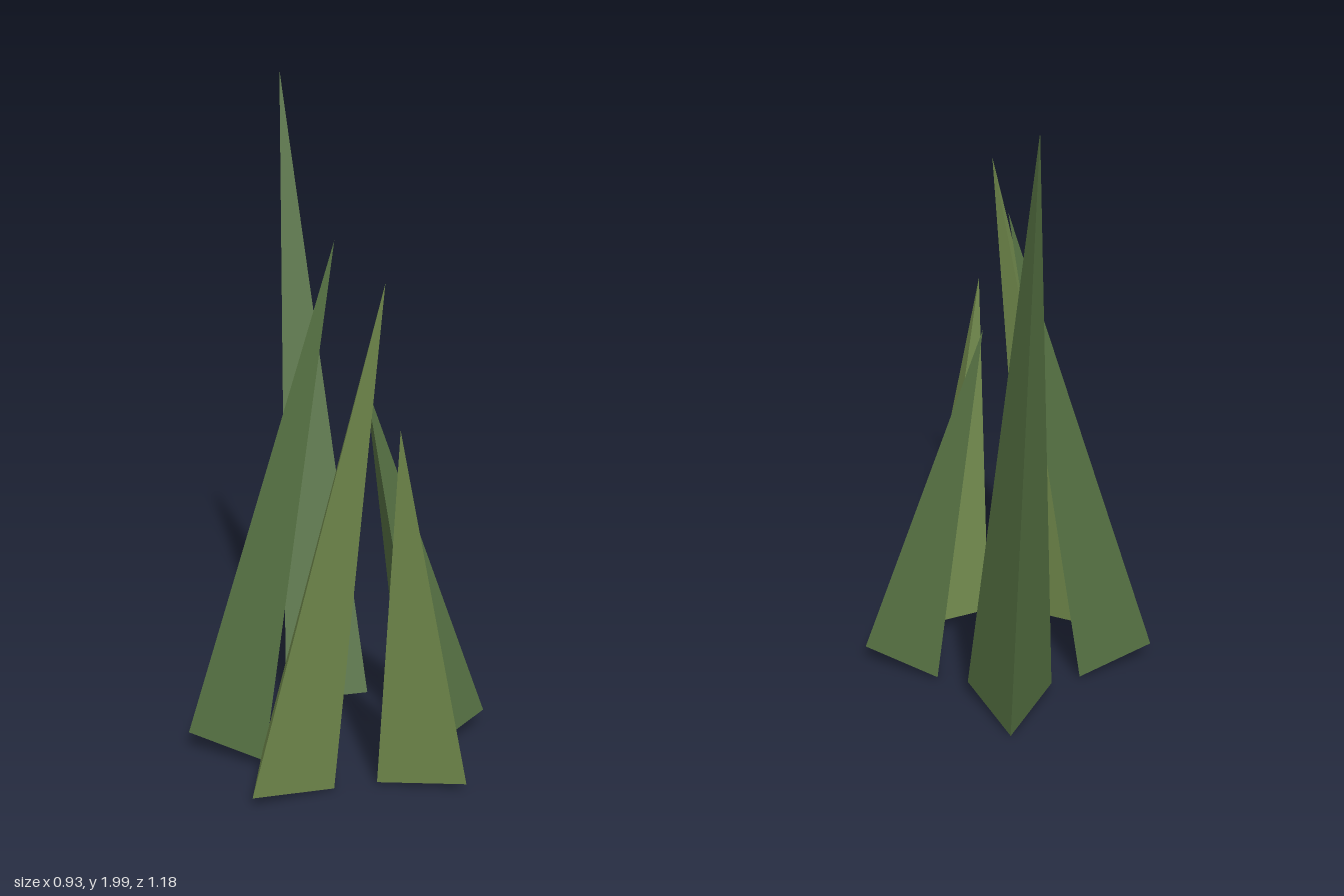
import * as THREE from 'three';

const UP = new THREE.Vector3(0, 1, 0);

// Three-sided spike from the centre of its base to its tip; yaw turns it about its own axis.
function makeSpike(name, material, base, tip, yaw) {
  const foot = new THREE.Vector3(...base);
  const axis = new THREE.Vector3(...tip).sub(foot);
  const height = axis.length();
  const cone = new THREE.ConeGeometry(0.154, height, 3);
  cone.translate(0, height / 2, 0);
  cone.rotateY(yaw);
  // faceted normals
  const geometry = cone.toNonIndexed();
  geometry.computeVertexNormals();
  const mesh = new THREE.Mesh(geometry, material);
  mesh.name = name;
  mesh.position.copy(foot);
  mesh.quaternion.setFromUnitVectors(UP, axis.normalize());
  return mesh;
}

export function createModel() {
  const deepGreen = new THREE.MeshStandardMaterial({ color: 0x557042 });
  deepGreen.name = 'deep green';
  const oliveGreen = new THREE.MeshStandardMaterial({ color: 0x738c4e });
  oliveGreen.name = 'olive green';

  const group = new THREE.Group();
  group.name = 'grassTuft';
  group.add(
    // tall blade leaning back
    makeSpike('backBlade', deepGreen, [0.022, 0.037, -0.176], [-0.012, 2.0, -0.59], 3.057),
    // side blades leaning inwards
    makeSpike('rightBlade', deepGreen, [-0.317, 0.037, 0.088], [0.005, 1.58, 0.03], -1.75),
    makeSpike('leftBlade', deepGreen, [0.314, 0.034, 0.139], [0.072, 1.17, 0.141], Math.PI / 2),
    // front blades leaning forwards
    makeSpike('frontRightBlade', oliveGreen, [-0.237, 0.037, 0.362], [0.0, 1.58, 0.582], -0.85),
    makeSpike('frontLeftBlade', oliveGreen, [0.188, 0.037, 0.398], [0.045, 1.17, 0.588], 2.75),
  );
  return group;
}
